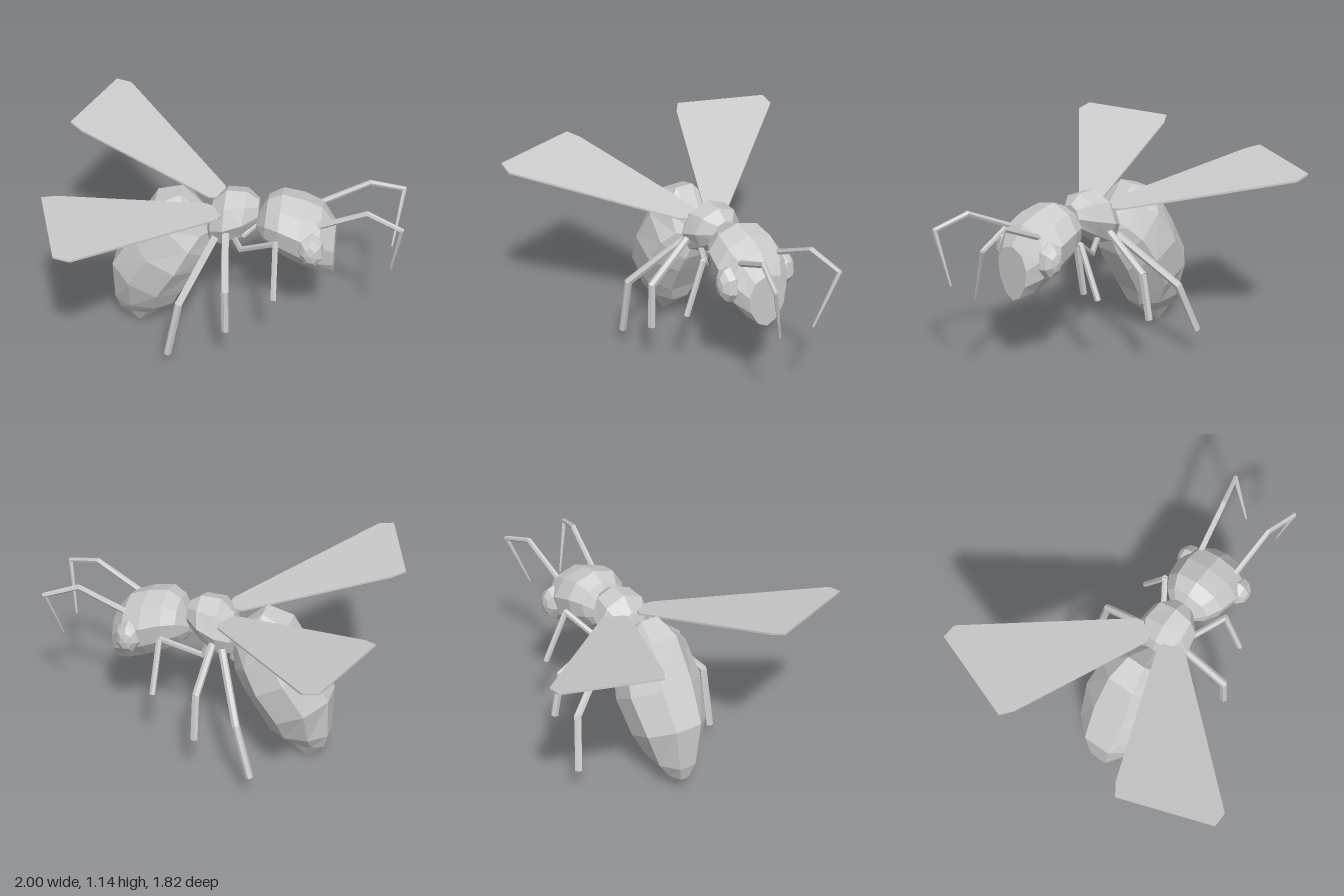
import * as THREE from 'three';

const mat = new THREE.MeshStandardMaterial({ color: 0xcccccc, flatShading: true });
const V = (a) => new THREE.Vector3(...a);

function addMesh(parent, geometry, name) {
  const mesh = new THREE.Mesh(geometry, mat);
  mesh.name = name;
  parent.add(mesh);
  return mesh;
}

// Faceted body from rings [topX, topY, bottomX, bottomY, halfWidth];
// taper widens the upper half, flatTop turns the rings half a step
function loft(rings, { sides = 8, taper = 0, flatTop = false } = {}) {
  const pos = [], idx = [];
  const phase = flatTop ? 0.5 : 0;
  const grow = flatTop ? 1 / Math.cos(Math.PI / sides) : 1;
  for (const [tx, ty, bx, by, w] of rings) {
    const cx = (tx + bx) / 2, cy = (ty + by) / 2;
    for (let j = 0; j < sides; j++) {
      const a = ((j + phase) / sides) * Math.PI * 2;
      const c = Math.cos(a) * grow, s = Math.sin(a) * grow;
      pos.push(cx + (c * (tx - bx)) / 2, cy + (c * (ty - by)) / 2, s * w * (1 + taper * c));
    }
  }
  const n = rings.length;
  for (let i = 0; i < n - 1; i++)
    for (let j = 0; j < sides; j++) {
      const k = (j + 1) % sides;
      const a = i * sides + j, b = i * sides + k, c = b + sides, d = a + sides;
      idx.push(a, b, c, a, c, d);
    }
  for (let j = 1; j < sides - 1; j++) {
    const e = (n - 1) * sides;
    idx.push(0, j + 1, j, e, e + j, e + j + 1);
  }
  const g = new THREE.BufferGeometry();
  g.setAttribute('position', new THREE.Float32BufferAttribute(pos, 3));
  g.setIndex(idx);
  const flat = g.toNonIndexed();
  flat.computeVertexNormals();
  return flat;
}

// Jointed limb: one thin cylinder per segment, slightly overlapping at the joints
function limb(parent, name, points, radii) {
  const group = new THREE.Group();
  group.name = name;
  for (let i = 0; i < points.length - 1; i++) {
    const a = V(points[i]), b = V(points[i + 1]);
    const dir = b.clone().sub(a), len = dir.length();
    dir.normalize();
    const seg = addMesh(group, new THREE.CylinderGeometry(radii[i + 1], radii[i], len + 0.012, 6), name + 'Segment' + (i + 1));
    seg.position.copy(a).add(b).multiplyScalar(0.5);
    seg.quaternion.setFromUnitVectors(new THREE.Vector3(0, 1, 0), dir);
  }
  parent.add(group);
}

// Thin flat wing, sloping up toward the rear and the tip
function wing(side) {
  const outline = [[-0.02, 0.06], [-0.13, 0.035], [-0.93, 0.34], [-1, 0.39], [-0.82, 0.91], [-0.73, 0.91], [-0.05, 0.17]];
  const shape = new THREE.Shape(outline.map(([x, z]) => new THREE.Vector2(x, z * side)));
  const g = new THREE.ExtrudeGeometry(shape, { depth: 0.012, bevelEnabled: false });
  g.rotateX(Math.PI / 2);
  const p = g.attributes.position;
  for (let i = 0; i < p.count; i++)
    p.setY(i, p.getY(i) + 0.898 - 0.215 * (p.getX(i) + 0.02) + 0.075 * Math.abs(p.getZ(i)));
  g.computeVertexNormals();
  return g;
}

export function createModel() {
  const model = new THREE.Group();
  model.name = 'wasp';

  // Abdomen, from the sting up to the waist
  addMesh(model, loft([
    [-0.575, 0.003, -0.54, 0.003, 0.008],
    [-0.665, 0.1, -0.43, 0.1, 0.06],
    [-0.69, 0.2, -0.34, 0.18, 0.125],
    [-0.69, 0.47, -0.3, 0.28, 0.2],
    [-0.565, 0.69, -0.19, 0.47, 0.235],
    [-0.43, 0.92, -0.13, 0.58, 0.2],
    [-0.28, 0.98, -0.11, 0.66, 0.13],
    [-0.13, 0.85, -0.09, 0.7, 0.05],
  ], { flatTop: true }), 'abdomen');

  // Thorax, its underside rising toward the neck
  addMesh(model, loft([
    [-0.13, 0.82, -0.13, 0.71, 0.05],
    [-0.1, 0.92, -0.11, 0.66, 0.12],
    [-0.02, 1.0, -0.03, 0.66, 0.17],
    [0.1, 1.0, 0.07, 0.73, 0.15],
    [0.17, 0.95, 0.17, 0.81, 0.07],
  ]), 'thorax');

  // Head with flat slanted face
  addMesh(model, loft([
    [0.16, 0.85, 0.155, 0.74, 0.06],
    [0.22, 0.96, 0.2, 0.68, 0.14],
    [0.3, 1.0, 0.28, 0.62, 0.185],
    [0.42, 0.975, 0.4, 0.56, 0.205],
    [0.53, 0.93, 0.53, 0.505, 0.19],
    [0.612, 0.82, 0.612, 0.49, 0.12],
  ], { sides: 10, taper: 0.2 }), 'head');

  // Eyes, wings and antennae
  for (const s of [1, -1]) {
    const side = s > 0 ? 'left' : 'right';
    const eye = addMesh(model, new THREE.SphereGeometry(1, 7, 6).rotateX(Math.PI / 2), side + 'Eye');
    eye.scale.set(0.08, 0.11, 0.075);
    eye.position.set(0.485, 0.755, 0.172 * s);
    eye.rotation.z = 0.15;
    addMesh(model, wing(s), side + 'Wing');
    limb(model, side + 'Antenna', [
      [0.51, 0.88, 0.12 * s], [0.79, 1.02, 0.155 * s], [0.985, 0.96, 0.205 * s], [0.94, 0.64, s > 0 ? 0.14 : -0.08],
    ], [0.018, 0.016, 0.014, 0.006]);
  }

  // Legs, each side posed a little differently
  const legs = {
    leftFrontLeg: [[0.02, 0.76, 0.08], [0.07, 0.64, 0.07], [0.285, 0.81, 0.22], [0.29, 0.5, 0.33]],
    rightFrontLeg: [[0.02, 0.76, -0.08], [0.07, 0.64, -0.07], [0.285, 0.8, -0.21], [0.285, 0.51, -0.35]],
    leftMiddleLeg: [[-0.01, 0.8, 0.14], [0.02, 0.58, 0.4], [0.025, 0.31, 0.41]],
    rightMiddleLeg: [[-0.01, 0.77, -0.14], [0, 0.6, -0.42], [-0.005, 0.34, -0.47]],
    leftHindLeg: [[-0.07, 0.76, 0.14], [-0.245, 0.47, 0.41], [-0.315, 0.11, 0.42]],
    rightHindLeg: [[-0.07, 0.74, -0.14], [-0.25, 0.47, -0.46], [-0.35, 0.18, -0.52]],
  };
  for (const [name, points] of Object.entries(legs)) {
    const r = name.includes('Front') ? 0.018 : 0.023;
    limb(model, name, points, points.map(() => r));
  }
  return model;
}
